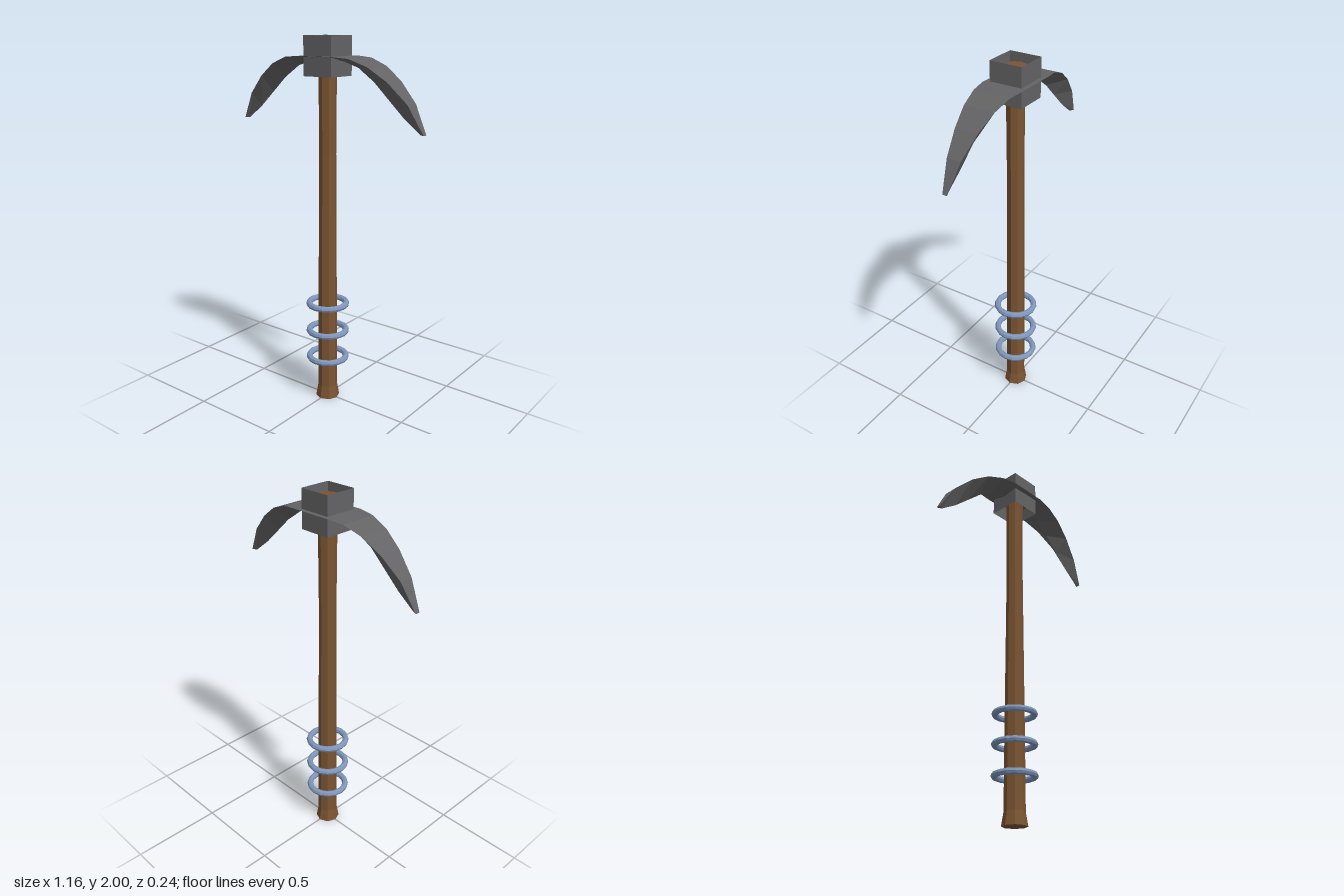
import * as THREE from 'three';

const iron = new THREE.MeshStandardMaterial({ color: 0x636365, side: THREE.DoubleSide });
iron.name = 'dark iron';
const wood = new THREE.MeshStandardMaterial({ color: 0x7b5533 });
wood.name = 'brown wood';
const steel = new THREE.MeshStandardMaterial({ color: 0x7f96ba });
steel.name = 'blue steel';

// Give every face its own normals for a low-poly look
function faceted(geometry) {
  const flat = geometry.index ? geometry.toNonIndexed() : geometry;
  flat.computeVertexNormals();
  return flat;
}

function addPart(group, name, geometry, material) {
  const mesh = new THREE.Mesh(faceted(geometry), material);
  mesh.name = name;
  group.add(mesh);
  return mesh;
}

// Curved blade: a flat top tapering to both tips, with a ridge underneath
function bladeGeometry() {
  // top x, top y, half width, ridge x, ridge y
  const half = [
    [0.11, 1.9, 0.112, 0.1, 1.875],
    [0.2, 1.893, 0.099, 0.19, 1.847],
    [0.3, 1.857, 0.083, 0.285, 1.782],
    [0.4, 1.79, 0.062, 0.37, 1.703],
    [0.5, 1.69, 0.038, 0.46, 1.62],
    [0.578, 1.55, 0.013, 0.553, 1.55],
  ];
  const mirrored = half.map(([x, y, w, rx, ry]) => [-x, y, w, -rx, ry]).reverse();
  const stations = [...mirrored, [0, 1.9, 0.111, 0, 1.888], ...half];

  const positions = [];
  const indices = [];
  stations.forEach(([x, y, w, rx, ry], i) => {
    positions.push(x, y, w, x, y, -w, rx, ry, 0);
    if (i === 0) return;
    const a = (i - 1) * 3;
    const b = i * 3;
    for (let k = 0; k < 3; k++) {
      const n = (k + 1) % 3;
      indices.push(a + k, b + k, b + n, a + k, b + n, a + n);
    }
  });
  const last = (stations.length - 1) * 3;
  indices.push(0, 1, 2, last, last + 2, last + 1);

  const geometry = new THREE.BufferGeometry();
  geometry.setAttribute('position', new THREE.Float32BufferAttribute(positions, 3));
  geometry.setIndex(indices);
  return geometry;
}

export function createModel() {
  const model = new THREE.Group();
  model.name = 'pickaxe';

  // Eight-sided handle with a flared foot
  const profile = [
    [0, 0], [0.066, 0], [0.054, 0.07], [0.053, 0.3], [0.051, 0.6],
    [0.045, 1.4], [0.047, 1.8], [0.053, 1.97], [0, 1.97],
  ].map(([r, y]) => new THREE.Vector2(r, y));
  addPart(model, 'handle', new THREE.LatheGeometry(profile, 8), wood);

  // Square collar, open at the top and bottom
  const collar = new THREE.CylinderGeometry(0.087 * Math.SQRT2, 0.087 * Math.SQRT2, 0.2, 4, 1, true);
  collar.rotateY(Math.PI / 4);
  collar.translate(0, 1.9, 0);
  addPart(model, 'collar', collar, iron);

  addPart(model, 'blade', bladeGeometry(), iron);

  // Three loose rings around the grip
  for (const y of [0.245, 0.405, 0.565]) {
    const ring = new THREE.TorusGeometry(0.103, 0.017, 8, 16);
    ring.rotateX(Math.PI / 2);
    addPart(model, 'gripRing', ring, steel).position.y = y;
  }

  return model;
}
